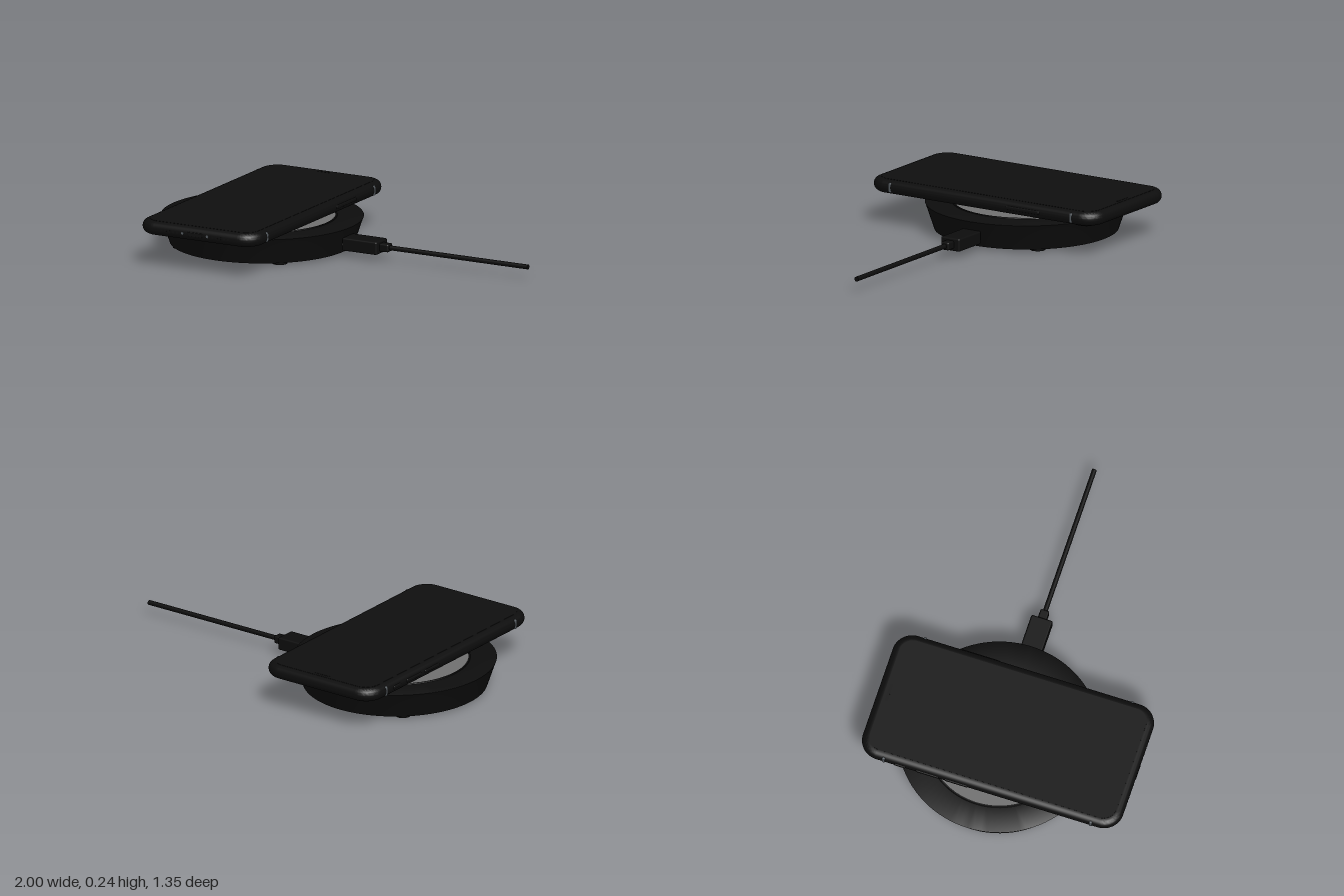
import * as THREE from 'three';
import { toCreasedNormals } from 'three/addons/utils/BufferGeometryUtils.js';
import { RoundedBoxGeometry } from 'three/addons/geometries/RoundedBoxGeometry.js';

const mat = (color) => new THREE.MeshStandardMaterial({ color });

export function createModel() {
  const root = new THREE.Group();
  const black = mat(0x0d0d0d), glass = mat(0x0f0f0f), grey = mat(0x707070);
  const band = mat(0x555b60), metal = mat(0x999999);

  const add = (parent, name, geometry, material, x = 0, y = 0, z = 0) => {
    const mesh = new THREE.Mesh(geometry, material);
    mesh.name = name;
    mesh.position.set(x, y, z);
    parent.add(mesh);
    return mesh;
  };
  const group = (name, x, y, z) => {
    const g = new THREE.Group();
    g.name = name;
    g.position.set(x, y, z);
    root.add(g);
    return g;
  };
  // Cylinder lying along x
  const rodX = (r, length, sides = 24) => new THREE.CylinderGeometry(r, r, length, sides).rotateZ(Math.PI / 2);

  // Rounded rectangle slab lying flat, bevelled edges, bottom at y = 0
  const slab = (w, d, h, corner, bevel, bevelHeight = bevel) => {
    const a = w / 2 - bevel, b = d / 2 - bevel, r = corner - bevel;
    const s = new THREE.Shape();
    s.absarc(a - r, b - r, r, 0, Math.PI / 2);
    s.absarc(-a + r, b - r, r, Math.PI / 2, Math.PI);
    s.absarc(-a + r, -b + r, r, Math.PI, Math.PI * 1.5);
    s.absarc(a - r, -b + r, r, Math.PI * 1.5, Math.PI * 2);
    s.closePath();
    const geo = new THREE.ExtrudeGeometry(s, {
      depth: h - 2 * bevelHeight, bevelEnabled: bevel > 0, bevelSize: bevel,
      bevelThickness: bevelHeight, bevelSegments: 8, curveSegments: 12,
    });
    geo.translate(0, 0, bevelHeight).rotateX(-Math.PI / 2);
    return toCreasedNormals(geo, 0.6);
  };

  // Charging dish: tapered body, open below to show the recessed base plate
  const charger = group('charger', -0.5, 0, -0.04);
  const profile = [
    [0.44, 0.02], [0.443, 0.012], [0.455, 0.012], [0.497, 0.137], [0.5, 0.143],
    [0.496, 0.145], [0.37, 0.145], [0.368, 0.148], [0.36, 0.148], [0.36, 0.143],
  ].map(([r, y]) => new THREE.Vector2(r, y));
  add(charger, 'chargerBody', toCreasedNormals(new THREE.LatheGeometry(profile, 96), 0.5), black);
  add(charger, 'chargingPad', new THREE.CylinderGeometry(0.361, 0.361, 0.01, 96), grey, 0, 0.141, 0);
  add(charger, 'basePlate', new THREE.CylinderGeometry(0.442, 0.442, 0.01, 96), grey, 0, 0.019, 0);
  for (let i = 0; i < 4; i++) {
    const a = THREE.MathUtils.degToRad(48.4 + i * 90);
    add(charger, 'foot', new THREE.CylinderGeometry(0.04, 0.038, 0.02, 32), black,
      0.41 * Math.cos(a), 0.01, 0.41 * Math.sin(a));
  }

  // Plug and cable
  const cable = group('cable', 0, 0.066, -0.04);
  add(cable, 'plugTip', new RoundedBoxGeometry(0.06, 0.03, 0.07, 3, 0.01), metal, -0.04, 0, 0);
  add(cable, 'plugBody', new RoundedBoxGeometry(0.195, 0.065, 0.11, 3, 0.008), black, 0.0775, 0, 0);
  add(cable, 'strainRelief', new RoundedBoxGeometry(0.06, 0.04, 0.046, 3, 0.008), black, 0.193, 0, 0);
  add(cable, 'cord', rodX(0.012, 0.8), black, 0.6, 0, 0);

  // Phone
  const W = 0.67, D = 1.345;
  const phone = group('phone', -0.48, 0.165, -0.002);
  add(phone, 'phoneBody', slab(W, D, 0.07, 0.1, 0.035, 0.033), black);
  add(phone, 'screen', slab(W - 0.07, D - 0.07, 0.001, 0.07, 0), glass, 0, 0.07, 0);
  add(phone, 'earpiece', slab(0.09, 0.012, 0.001, 0.006, 0), black, 0, 0.071, -0.615);
  add(phone, 'cameraBump', slab(0.108, 0.104, 0.014, 0.04, 0.004), black, 0.23, -0.01, -0.557);
  add(phone, 'cameraLens', new THREE.CylinderGeometry(0.03, 0.03, 0.004, 32), glass, 0.23, -0.01, -0.557);

  // Antenna bands and buttons on both long sides
  for (const side of [-1, 1]) {
    for (const end of [-1, 1]) {
      add(phone, 'antennaBand', new RoundedBoxGeometry(0.02, 0.05, 0.016, 2, 0.006), band,
        side * (W / 2 - 0.0095), 0.035, end * 0.535);
    }
    const buttons = side > 0 ? [[-0.25, 0.2]] : [[-0.45, 0.06], [-0.31, 0.12], [-0.16, 0.12]];
    for (const [z, length] of buttons) {
      add(phone, 'sideButton', new RoundedBoxGeometry(0.016, 0.02, length, 2, 0.007), black,
        side * (W / 2 - 0.004), 0.035, z);
    }
  }

  // Socket and screws on the lower end
  const end = D / 2;
  add(phone, 'socket', new RoundedBoxGeometry(0.08, 0.022, 0.006, 2, 0.0025), glass, 0, 0.035, end - 0.002);
  for (const side of [-1, 1]) {
    add(phone, 'endScrew', new THREE.CylinderGeometry(0.007, 0.007, 0.006, 16).rotateX(Math.PI / 2), band,
      side * 0.07, 0.035, end - 0.002);
    for (let i = 0; i < 5; i++) {
      add(phone, 'speakerHole', new THREE.CylinderGeometry(0.006, 0.006, 0.004, 12).rotateX(Math.PI / 2), glass,
        side * (0.1 + i * 0.022), 0.035, end - 0.0015);
    }
  }
  return root;
}
